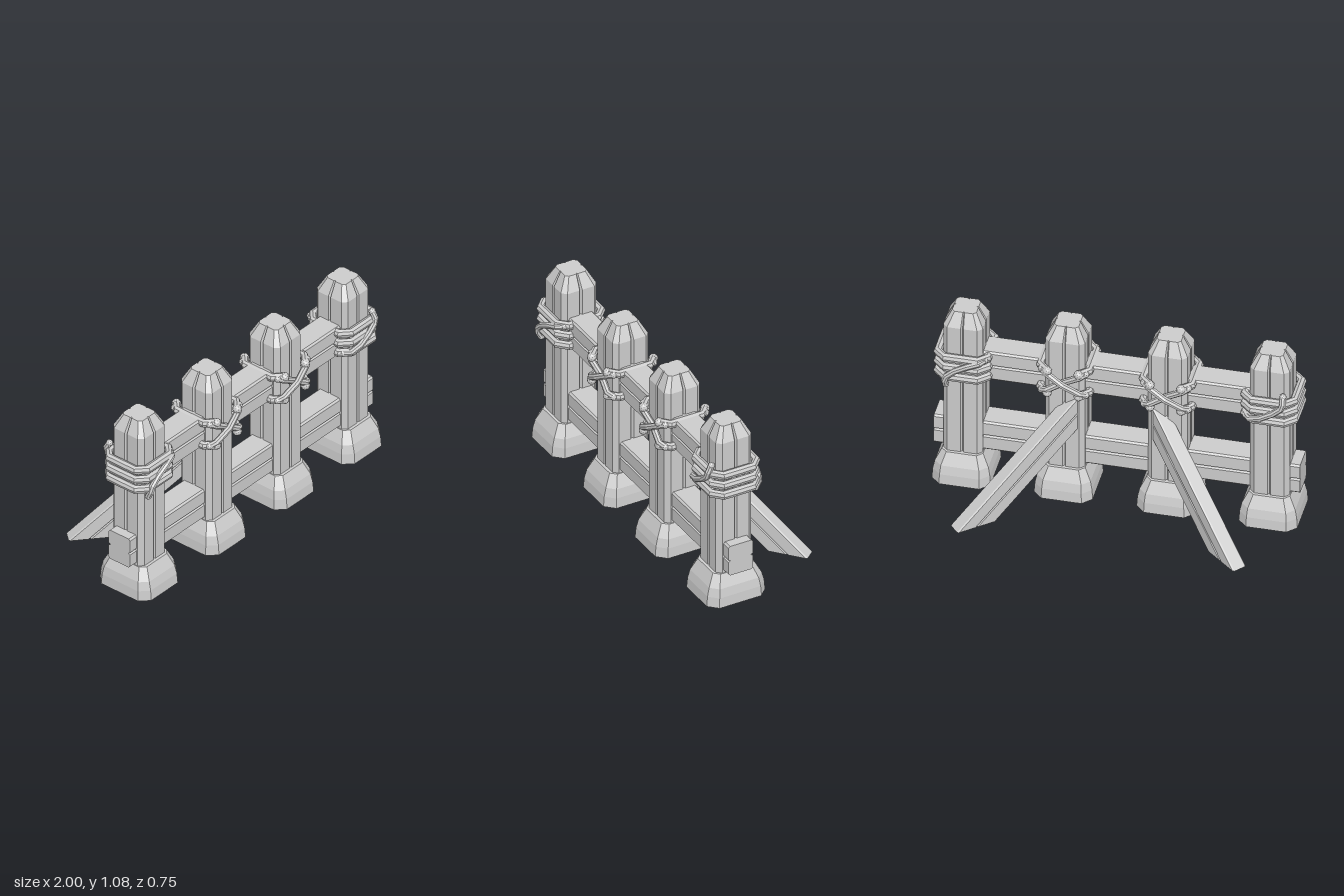
import * as THREE from 'three';

const MID_Z = 0.2;   // depth of the fence line
const TIE_Y = 0.755; // height of the lashings

// Chamfered rectangle outline, with optional V-grooves on its x or z faces
function plan(hw, hd, c, grooveX = false, grooveZ = false) {
  const g = 0.008, d = 0.014;
  const gx = s => grooveX ? [[s * hw, -s * g], [s * (hw - d), 0], [s * hw, s * g]] : [];
  const gz = s => grooveZ ? [[s * g, s * hd], [0, s * (hd - d)], [-s * g, s * hd]] : [];
  return [
    [hw, c - hd], ...gx(1), [hw, hd - c], [hw - c, hd], ...gz(1), [c - hw, hd],
    [-hw, hd - c], ...gx(-1), [-hw, c - hd], [c - hw, -hd], ...gz(-1), [hw - c, -hd],
  ];
}

// Solid skin over rings of [x, y, z] points stacked upward, closed at both ends
function loft(rings) {
  const out = [], n = rings[0].length;
  for (let j = 0; j < rings.length - 1; j++) {
    for (let i = 0; i < n; i++) {
      const k = (i + 1) % n, [lo, hi] = [rings[j], rings[j + 1]];
      out.push(...lo[i], ...hi[i], ...lo[k], ...lo[k], ...hi[i], ...hi[k]);
    }
  }
  const cap = (ring, flip) => {
    const flat = ring.map(p => new THREE.Vector2(p[0], p[2]));
    for (const [a, b, c] of THREE.ShapeUtils.triangulateShape(flat, [])) {
      out.push(...ring[a], ...ring[flip ? c : b], ...ring[flip ? b : c]);
    }
  };
  cap(rings[0], false);
  cap(rings[rings.length - 1], true);
  const geo = new THREE.BufferGeometry();
  geo.setAttribute('position', new THREE.Float32BufferAttribute(out, 3));
  geo.computeVertexNormals();
  return geo;
}

const level = (pts, y, s = 1) => pts.map(([x, z]) => [x * s, y, z * s]);

// Path whose samples land exactly on its corners
class Polyline extends THREE.Curve {
  constructor(pts, closed) {
    super();
    this.pts = pts.map(p => new THREE.Vector3(...p));
    if (closed) this.pts.push(this.pts[0].clone());
  }
  getPoint(t, target = new THREE.Vector3()) {
    const n = this.pts.length - 1, i = Math.min(Math.floor(t * n), n - 1);
    return target.lerpVectors(this.pts[i], this.pts[i + 1], t * n - i);
  }
  getPointAt(u, target) { return this.getPoint(u, target); }
  getTangentAt(u, target) { return this.getTangent(u, target); }
}

export function createModel() {
  const wood = new THREE.MeshStandardMaterial({ color: 0xcccccc });
  wood.name = 'pale grey';
  const model = new THREE.Group();
  model.name = 'fence';

  const add = (parent, name, geo, x = 0, y = 0, z = 0) => {
    const flat = geo.index ? geo.toNonIndexed() : geo;
    flat.computeVertexNormals();
    const mesh = new THREE.Mesh(flat, wood);
    mesh.name = name;
    mesh.position.set(x, y, z);
    parent.add(mesh);
    return mesh;
  };

  // Rope strand with faceted ends, or a closed loop
  const rope = (parent, name, pts, r, closed = false) => {
    const curve = new Polyline(pts, closed);
    add(parent, name, new THREE.TubeGeometry(curve, curve.pts.length - 1, r, 8, closed));
    if (!closed) {
      for (const p of [pts[0], pts[pts.length - 1]]) {
        add(parent, name + 'End', new THREE.IcosahedronGeometry(r * 1.08, 1), ...p);
      }
    }
  };

  // Posts with tapered tops, on flared footings
  const postPlan = plan(0.108, 0.108, 0.026, true, true);
  const postGeo = loft([level(postPlan, 0.1), level(postPlan, 1.0), level(postPlan, 1.08, 0.61)]);
  const footGeo = loft([
    level(plan(0.16, 0.178, 0.05), 0),
    level(plan(0.156, 0.173, 0.048), 0.06),
    level(plan(0.146, 0.16, 0.042), 0.11),
    level(plan(0.112, 0.125, 0.03), 0.18),
  ]);
  const postXs = [-0.838, -0.28, 0.28, 0.838];
  for (const x of postXs) {
    add(model, 'post', postGeo, x, 0, MID_Z);
    add(model, 'footing', footGeo, x, 0, MID_Z);
  }

  // Horizontal rails
  const rail = (name, half, y) => {
    const p = plan(0.092, 0.075, 0.01, false, true);
    add(model, name, loft([level(p, -half), level(p, half)]), 0, y, MID_Z).rotation.z = Math.PI / 2;
  };
  rail('lowerRail', 1.0, 0.283);
  rail('upperRail', 0.84, 0.752);

  // Slanted braces: cut flat at the ground and upright inside the posts
  const reach = 0.72, slope = 0.9;
  const bracePlan = plan(0.115, 0.042, 0.008, false, true).map(([s, w]) => [s + 0.115, w]);
  const braceGeo = loft([
    level(bracePlan, 0),
    bracePlan.map(([s, w]) => [reach, (reach - s) * slope, w]),
  ]);
  for (const side of [-1, 1]) {
    const brace = add(model, 'brace', braceGeo, side * 0.78, 0, -0.348);
    brace.rotation.y = side < 0 ? -0.707 : Math.PI + 0.707;
  }

  // Lashings
  postXs.forEach((x, index) => {
    const tie = new THREE.Group();
    tie.name = 'lashing';
    tie.position.set(x, TIE_Y, MID_Z);
    model.add(tie);

    if (index === 0 || index === 3) {
      // Three loops, plus a loose diagonal strand on the front and the back
      for (const y of [-0.062, 0, 0.062]) {
        const ring = [
          [0.135, y, 0], [0.135, y, 0.09], [0.09, y, 0.133], [-0.09, y, 0.133], [-0.135, y, 0.09],
          [-0.135, y, 0], [-0.135, y, -0.09], [-0.09, y, -0.133], [0.09, y, -0.133], [0.135, y, -0.09],
        ];
        rope(tie, 'ropeLoop', ring, 0.025, true);
      }
      const s = index === 0 ? 1 : -1;
      const strand = [
        [0.125, 0.06, 0.11], [0.1, 0.055, 0.145], [0.04, 0.035, 0.157],
        [-0.03, -0.005, 0.157], [-0.075, -0.045, 0.157], [-0.085, -0.075, 0.155], [-0.083, -0.112, 0.135],
      ];
      rope(tie, 'looseStrandFront', strand.map(([a, b, c]) => [s * a, s * b, c]), 0.018);
      rope(tie, 'looseStrandBack', strand.map(([a, b, c]) => [s * a, -s * b, -c]), 0.018);
    } else {
      // Side strands joined by a cross on the front and the back
      for (const sx of [-1, 1]) {
        for (const y of [-0.072, 0.072]) {
          rope(tie, 'sideStrand', [
            [sx * 0.085, y, 0.14], [sx * 0.132, y, 0.095],
            [sx * 0.132, y, -0.095], [sx * 0.085, y, -0.14],
          ], 0.024);
        }
      }
      for (const sz of [-1, 1]) {
        for (const sx of [-1, 1]) {
          const mid = sx > 0 ? 0.158 : 0.13;
          rope(tie, 'crossStrand', [
            [-sx * 0.12, -0.07, sz * 0.122], [-sx * 0.09, -0.055, sz * 0.142],
            [0, 0, sz * mid],
            [sx * 0.09, 0.055, sz * 0.142], [sx * 0.12, 0.07, sz * 0.122],
          ], 0.019);
        }
      }
    }
  });

  return model;
}
